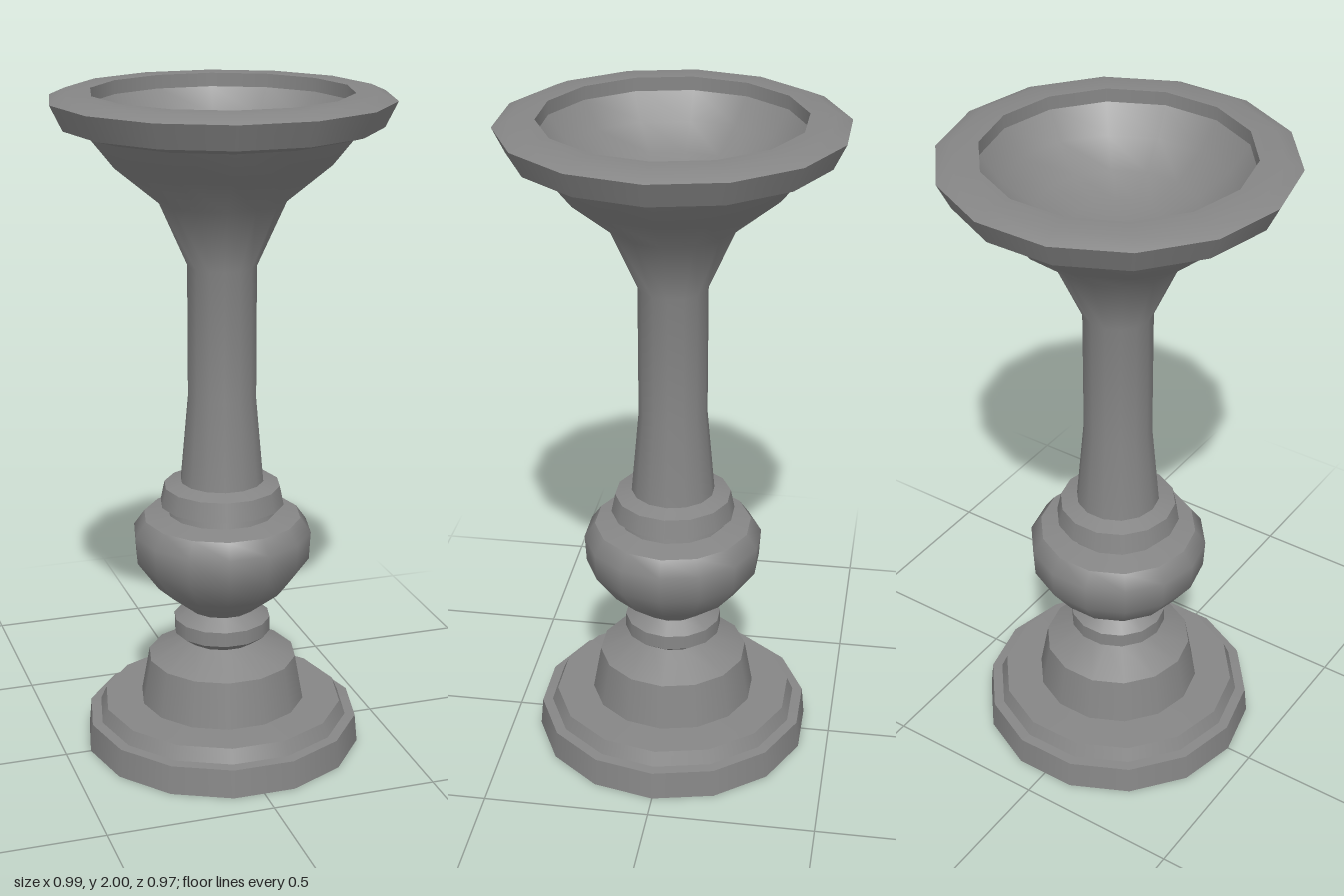
import * as THREE from 'three';
import { mergeGeometries } from 'three/addons/utils/BufferGeometryUtils.js';

const SIDES = 14;
const material = new THREE.MeshStandardMaterial({ color: 0x868686 });

// One turned part: each strip of [radius, height] points is smooth, with a sharp edge between strips.
function turned(name, strips) {
  const geometries = strips.map((strip) => new THREE.LatheGeometry(
    strip.map(([r, y]) => new THREE.Vector2(r, y)), SIDES, Math.PI / 2));
  const mesh = new THREE.Mesh(mergeGeometries(geometries), material);
  mesh.name = name;
  return mesh;
}

export function createModel() {
  const group = new THREE.Group();
  group.name = 'pedestalStand';

  group.add(
    // Stepped foot, closed underneath
    turned('foot', [
      [[0, 0], [0.423, 0]],
      [[0.423, 0], [0.415, 0.087]],
      [[0.415, 0.087], [0.384, 0.09]],
      [[0.384, 0.09], [0.366, 0.132]],
      [[0.366, 0.132], [0.252, 0.135]],
    ]),
    // Tapered block with sloping shoulder
    turned('pedestal', [
      [[0.252, 0.135], [0.227, 0.275]],
      [[0.227, 0.275], [0.11, 0.33]],
    ]),
    // Small ring below the bulb
    turned('lowerRing', [
      [[0.11, 0.33], [0.147, 0.357]],
      [[0.147, 0.357], [0.147, 0.402]],
      [[0.147, 0.402], [0.102, 0.432]],
    ]),
    // Rounded bulb with narrow neck
    turned('bulb', [
      [[0.102, 0.432], [0.2, 0.51], [0.265, 0.6], [0.27, 0.685], [0.238, 0.73]],
      [[0.238, 0.73], [0.163, 0.742]],
      [[0.163, 0.742], [0.158, 0.765]],
    ]),
    // Collar under the shaft
    turned('collar', [
      [[0.158, 0.765], [0.187, 0.77]],
      [[0.187, 0.77], [0.175, 0.828]],
      [[0.175, 0.828], [0.125, 0.842]],
    ]),
    // Shaft flaring out into the cup
    turned('shaft', [
      [[0.125, 0.842], [0.102, 1.1], [0.102, 1.5], [0.187, 1.69], [0.316, 1.797], [0.388, 1.887]],
    ]),
    // Wide rim and its inner lip
    turned('rim', [
      [[0.388, 1.887], [0.46, 1.907]],
      [[0.46, 1.907], [0.496, 1.98]],
      [[0.496, 1.98], [0.45, 2], [0.377, 2]],
      [[0.377, 2], [0.377, 1.96]],
    ]),
    // Hollow of the cup
    turned('bowl', [
      [[0.377, 1.96], [0.32, 1.885], [0.23, 1.82], [0.13, 1.783], [0.05, 1.77], [0, 1.77]],
    ]),
  );
  return group;
}
